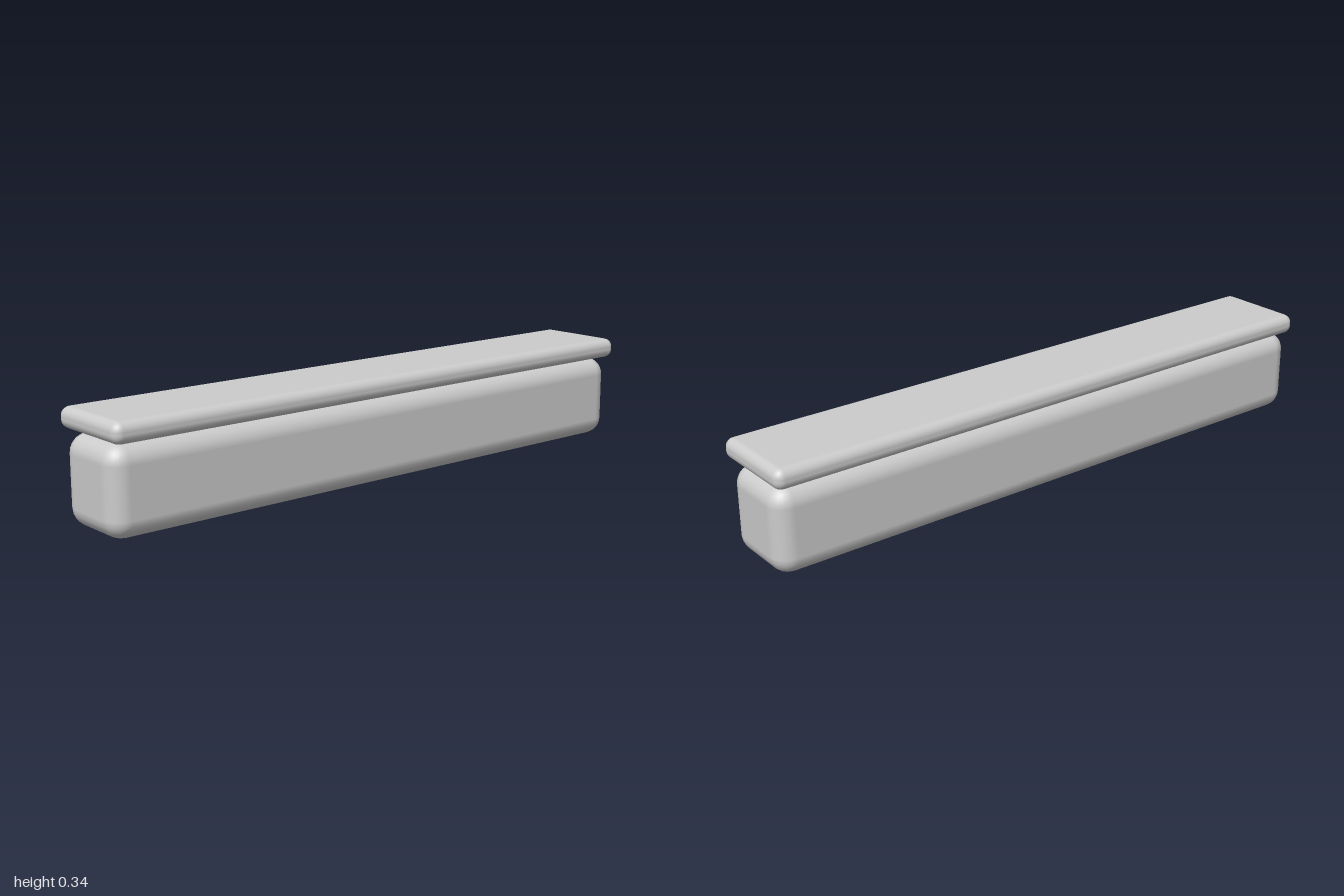
import * as THREE from 'three';
import { RoundedBoxGeometry } from 'three/addons/geometries/RoundedBoxGeometry.js';

export function createModel() {
  const group = new THREE.Group();
  const stone = new THREE.MeshStandardMaterial({ color: 0xcccccc });
  stone.name = 'light grey stone';

  // Rounded block spanning the full length, given by its bottom, top, depth and centre z
  function addBlock(name, bottom, top, depth, z, radius) {
    const geometry = new RoundedBoxGeometry(2, top - bottom, depth, 3, radius);
    const mesh = new THREE.Mesh(geometry, stone);
    mesh.name = name;
    mesh.position.set(0, (bottom + top) / 2, z);
    group.add(mesh);
  }

  // Thick wall body
  addBlock('wallBody', 0.002, 0.271, 0.26, -0.004, 0.058);
  // Thin coping slab floating just above it, overhanging front and back
  addBlock('copingSlab', 0.277, 0.341, 0.302, 0, 0.028);

  return group;
}
